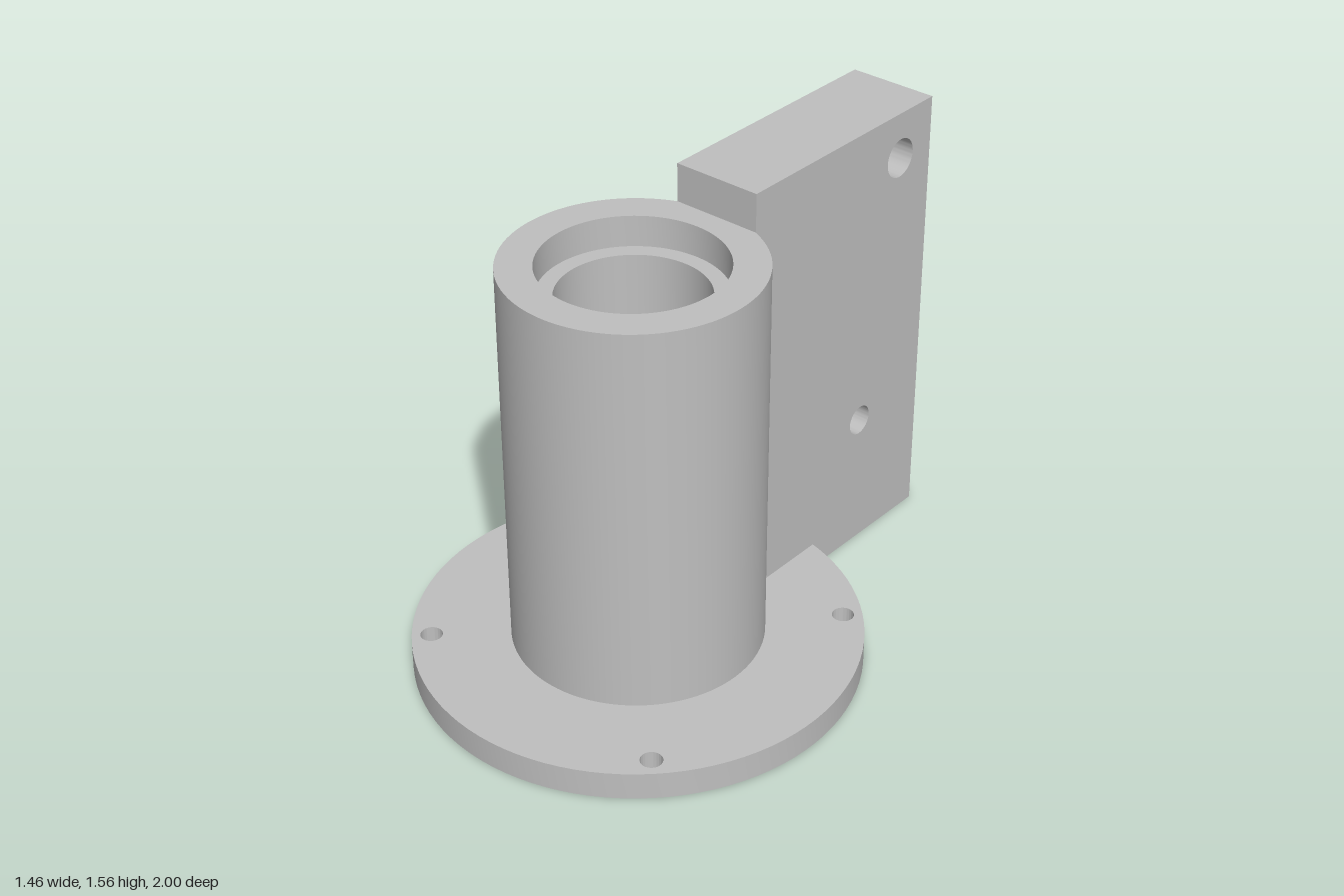
import * as THREE from 'three';
import { toCreasedNormals } from 'three/addons/utils/BufferGeometryUtils.js';

const AXIS_Z = 0.27;      // tube and flange axis
const FLANGE_H = 0.095;
const TUBE_TOP = 1.43;
const COUNTERBORE = 0.105; // depth at both ends
const PLATE_W = 0.312;

const circle = (x, y, r) => new THREE.Path().absarc(x, y, r, 0, Math.PI * 2, true);

export function createModel() {
  const model = new THREE.Group();
  model.name = 'flangedBracket';
  const steel = new THREE.MeshStandardMaterial({ color: 0xbfbfbf });
  steel.name = 'grey steel';

  const add = (name, geometry) => {
    const mesh = new THREE.Mesh(toCreasedNormals(geometry, 0.6), steel);
    mesh.name = name;
    model.add(mesh);
    return mesh;
  };

  // Round base flange with bore and four bolt holes
  const disc = new THREE.Shape().absarc(0, 0, 0.73, 0, Math.PI * 2, false);
  disc.holes.push(circle(0, 0, 0.295));
  for (const sx of [-1, 1]) {
    for (const sz of [-1, 1]) disc.holes.push(circle(sx * 0.471, sz * 0.471, 0.036));
  }
  const flange = new THREE.ExtrudeGeometry(disc, { depth: FLANGE_H, bevelEnabled: false, curveSegments: 48 });
  flange.rotateX(Math.PI / 2).translate(0, FLANGE_H, AXIS_Z);
  add('baseFlange', flange);

  // Hollow tube, counterbored at both ends
  const profile = [
    [0.295, FLANGE_H], [0.41, FLANGE_H], [0.41, TUBE_TOP], [0.295, TUBE_TOP],
    [0.295, TUBE_TOP - COUNTERBORE], [0.24, TUBE_TOP - COUNTERBORE],
    [0.24, COUNTERBORE], [0.295, COUNTERBORE], [0.295, FLANGE_H],
  ].map(([r, y]) => new THREE.Vector2(r, y));
  add('tube', new THREE.LatheGeometry(profile, 96).translate(0, 0, AXIS_Z));

  // Upright mounting plate with two cross holes, drawn in (z, y)
  const side = new THREE.Shape();
  side.moveTo(-1, 0).lineTo(-0.11, 0).lineTo(-0.11, 1.56).lineTo(-1, 1.56).closePath();
  side.holes.push(circle(-0.84, 1.4, 0.067), circle(-0.68, 0.48, 0.052));
  const plate = new THREE.ExtrudeGeometry(side, { depth: PLATE_W, bevelEnabled: false, curveSegments: 32 });
  plate.translate(0, 0, -PLATE_W / 2).rotateY(-Math.PI / 2);
  add('mountingPlate', plate);

  return model;
}
